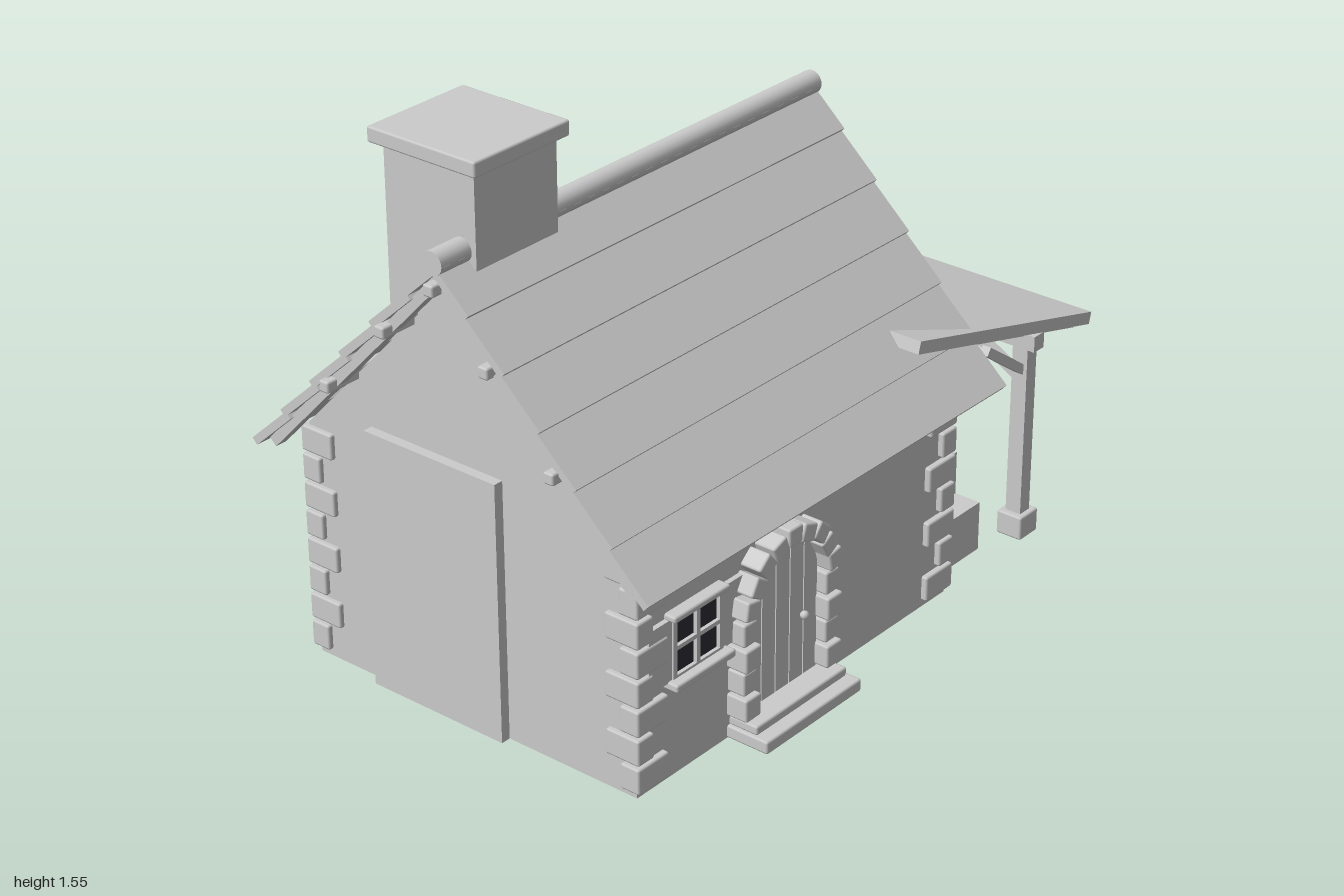
import * as THREE from 'three';
import { RoundedBoxGeometry } from 'three/addons/geometries/RoundedBoxGeometry.js';

const CZ = -0.01; // ridge line in z

export function createModel() {
  const house = new THREE.Group();
  house.name = 'workshopHouse';
  const stone = new THREE.MeshStandardMaterial({ color: 0xcccccc, name: 'light grey' });
  const dark = new THREE.MeshStandardMaterial({ color: 0x2e2e36, name: 'dark iron' });

  const add = (name, geo, mat = stone, x = 0, y = 0, z = 0) => {
    const m = new THREE.Mesh(geo, mat);
    m.name = name;
    m.position.set(x, y, z);
    house.add(m);
    return m;
  };
  // box given by its limits on each axis
  const box = (name, x0, x1, y0, y1, z0, z1, mat = stone) =>
    add(name, new THREE.BoxGeometry(x1 - x0, y1 - y0, z1 - z0), mat, (x0 + x1) / 2, (y0 + y1) / 2, (z0 + z1) / 2);
  // chamfered block given by its limits
  const block = (name, x0, x1, y0, y1, z0, z1) =>
    add(name, new RoundedBoxGeometry(x1 - x0, y1 - y0, z1 - z0, 1, 0.006), stone, (x0 + x1) / 2, (y0 + y1) / 2, (z0 + z1) / 2);
  // straight timber between two points
  const beam = (name, a, b, w, h = w) => {
    const p = new THREE.Vector3(...a), q = new THREE.Vector3(...b);
    const m = add(name, new THREE.BoxGeometry(w, h, p.distanceTo(q)));
    m.position.copy(p).lerp(q, 0.5);
    m.lookAt(q);
    return m;
  };
  const lathe = (name, pts, seg, x, y, z, mat = stone) =>
    add(name, new THREE.LatheGeometry(pts.map(p => new THREE.Vector2(...p)), seg), mat, x, y, z);

  // walls with gables
  const X0 = -0.89, X1 = 0.372, HZ = 0.535;
  const gable = new THREE.Shape([[-HZ, 0], [HZ, 0], [HZ, 0.67], [0, 1.24], [-HZ, 0.67]].map(p => new THREE.Vector2(...p)));
  const wallGeo = new THREE.ExtrudeGeometry(gable, { depth: X1 - X0, bevelEnabled: false });
  wallGeo.rotateY(Math.PI / 2);
  add('walls', wallGeo, stone, X0, 0, CZ);
  box('chimneyBreast', -0.918, -0.85, 0, 0.73, -0.325, 0.11);

  // corner stones, alternating long and short
  for (const sx of [-1, 1]) for (const sz of [-1, 1]) for (let i = 0; i < 8; i++) {
    const lx = i % 2 ? 0.06 : 0.115, lz = i % 2 ? 0.105 : 0.06;
    const ox = sx < 0 ? X0 - 0.014 : X1 + 0.012, oz = CZ + sz * (HZ + 0.018);
    const ix = ox - sx * lx, iz = oz - sz * lz, y = 0.02 + i * 0.0815;
    block('cornerStone', Math.min(ox, ix), Math.max(ox, ix), y, y + 0.072, Math.min(oz, iz), Math.max(oz, iz));
  }

  // roof: six lapped boards on each slope
  const slope = Math.atan(1.065), RX0 = -0.978, RX1 = 0.458, RW = RX1 - RX0;
  for (const s of [-1, 1]) {
    for (let i = 0; i < 6; i++) {
      const d = 0.108 * (i + 0.5), t = 0.022;
      const board = add('roofBoard', new THREE.BoxGeometry(RW, t, 0.172), stone, (RX0 + RX1) / 2,
        1.318 - 1.065 * d - 0.02 * Math.cos(slope), CZ + s * (d - 0.02 * Math.sin(slope)));
      board.rotation.x = s * (slope - 0.08);
    }
    // end rafters
    for (const x of [RX0 + 0.03, RX1 - 0.03])
      beam('endRafter', [x, 1.25, CZ], [x, 0.625, CZ + s * 0.59], 0.035, 0.028);
    // gable posts
    box('gablePost', X1, X1 + 0.04, 0.7, 1.08, CZ + s * 0.147 - 0.012, CZ + s * 0.147 + 0.012);
    beam('gableRafter', [X1 + 0.02, 1.215, CZ], [X1 + 0.02, 0.73, CZ + s * 0.475], 0.04, 0.03);
  }
  box('gableTie', X1, X1 + 0.045, 0.857, 0.875, CZ - 0.365, CZ + 0.365);
  for (const [y, z] of [[1.235, 0], [1.075, 0.167], [1.075, -0.167], [0.865, 0.365], [0.865, -0.365]])
    block('purlin', -0.998, 0.48, y - 0.016, y + 0.016, CZ + z - 0.016, CZ + z + 0.016);
  const ridge = add('ridgeRoll', new THREE.CylinderGeometry(0.032, 0.032, RW + 0.004, 20), stone, (RX0 + RX1) / 2, 1.3, CZ);
  ridge.rotation.z = Math.PI / 2;

  // chimney
  box('chimney', -0.877, -0.59, 0.85, 1.51, -0.253, 0.036);
  block('chimneyCap', -0.9, -0.567, 1.505, 1.547, -0.285, 0.06);

  // lean-to roof
  const pitch = Math.atan2(0.216, 0.79);
  const roofY = x => 0.816 - 0.273 * (x - 0.205); // top surface
  beam('leanToRoof', [0.2, roofY(0.2) - 0.018, -0.0125], [0.993, roofY(0.993) - 0.018, -0.0125], 1.115, 0.035);
  for (let i = -4; i <= 4; i++)
    beam('leanToRafter', [0.36, roofY(0.36) - 0.046, CZ + i * 0.124], [0.988, roofY(0.988) - 0.046, CZ + i * 0.124], 0.026, 0.026 / Math.cos(pitch));
  box('leanToPlate', 0.74, 0.785, 0.572, 0.618, -0.555, 0.535);
  for (const i of [-1, 0, 1]) {
    const z = CZ / 2 + i * 0.495;
    box('leanToPost', 0.741, 0.784, 0.06, 0.6, z - 0.024, z + 0.024);
    block('postBase', 0.722, 0.804, 0, 0.07, z - 0.04, z + 0.04);
    beam('postBrace', [0.75, 0.505, z], [0.575, 0.628, z], 0.026);
    if (i) beam('plateBrace', [0.763, 0.475, z - i * 0.01], [0.763, 0.585, z - i * 0.21], 0.026);
  }

  // door of five planks under a round arch
  const DX = -0.352, DY = 0.345, FZ = CZ + HZ, R = 0.14;
  for (let i = 0; i < 5; i++) {
    const a = -R + i * 0.056 + 0.002, b = a + 0.052, s = new THREE.Shape();
    s.moveTo(a, 0.06);
    s.lineTo(b, 0.06);
    for (let k = 0; k <= 4; k++) {
      const x = b + (a - b) * k / 4;
      s.lineTo(x, DY + Math.sqrt(R * R - x * x));
    }
    add('doorPlank', new THREE.ExtrudeGeometry(s, { depth: 0.02, bevelEnabled: false }), stone, DX, 0, FZ);
  }
  add('doorKnob', new THREE.SphereGeometry(0.012, 12, 8), stone, -0.275, 0.24, FZ + 0.03);
  for (const s of [-1, 1]) for (let i = 0; i < 4; i++) {
    const x = DX + s * 0.164, w = i % 2 ? 0.026 : 0.03, y = 0.065 + i * 0.07;
    block('doorJambStone', x - w, x + w, y, y + 0.064, FZ - 0.01, FZ + (i % 2 ? 0.052 : 0.062));
  }
  for (let i = 0; i < 9; i++) {
    const a = Math.PI * (i + 0.5) / 9, r = i % 2 ? 0.162 : 0.168;
    const v = add('archStone', new RoundedBoxGeometry(0.05, 0.054, 0.075, 1, 0.006), stone,
      DX + r * Math.cos(a), DY + r * Math.sin(a), FZ + 0.024);
    v.rotation.z = a;
  }
  block('lowerStep', -0.545, -0.16, 0, 0.036, FZ - 0.01, 0.652);
  block('upperStep', -0.535, -0.17, 0.034, 0.06, FZ - 0.01, 0.612);

  // window
  box('windowPane', -0.765, -0.59, 0.28, 0.46, FZ, FZ + 0.008, dark);
  for (const x of [-0.765, -0.678, -0.59]) box('windowBar', x - 0.007, x + 0.007, 0.28, 0.46, FZ, FZ + 0.018);
  for (const y of [0.287, 0.368, 0.45]) box('windowBar', -0.765, -0.59, y - 0.006, y + 0.006, FZ, FZ + 0.018);
  block('windowLintel', -0.785, -0.575, 0.452, 0.47, FZ - 0.01, FZ + 0.035);
  block('windowSill', -0.79, -0.565, 0.264, 0.286, FZ - 0.01, FZ + 0.045);
  for (const x of [-0.858, -0.587]) box('shutter', x, x + 0.085, 0.282, 0.455, FZ, FZ + 0.014);

  // forge hearth and chest
  box('hearth', 0.36, 0.64, 0, 0.255, 0.094, 0.367);
  box('hearthCoals', 0.4, 0.6, 0.255, 0.268, 0.135, 0.325, dark);
  box('chest', 0.4, 0.615, 0, 0.145, 0.385, 0.465);

  // bellows on the wall
  box('bellowsBag', 0.37, 0.475, 0.275, 0.328, -0.058, 0.045, dark);
  for (const [y, t] of [[0.334, 0.12], [0.268, -0.12]]) {
    const board = add('bellowsBoard', new THREE.BoxGeometry(0.118, 0.014, 0.13), stone, 0.43, y, -0.015);
    board.rotation.x = t;
    beam('bellowsHandle', [0.43, y, -0.06], [0.43, y - t * 0.03, -0.085], 0.03, 0.014);
  }

  // anvil on its stump
  const AX = 0.56, AZ = -0.167;
  lathe('stump', [[0, 0], [0.077, 0], [0.072, 0.06], [0.068, 0.15], [0.062, 0.162], [0, 0.162]], 24, AX, 0, AZ);
  block('anvilFoot', AX - 0.05, AX + 0.05, 0.16, 0.19, AZ - 0.031, AZ + 0.031);
  box('anvilWaist', AX - 0.03, AX + 0.03, 0.185, 0.22, AZ - 0.017, AZ + 0.017);
  block('anvilFace', AX - 0.075, AX + 0.09, 0.212, 0.258, AZ - 0.028, AZ + 0.028);
  const horn = add('anvilHorn', new THREE.ConeGeometry(0.024, 0.09, 16), stone, AX + 0.125, 0.237, AZ);
  horn.rotation.z = -Math.PI / 2;

  // barrel with hoops
  const bulge = y => 0.05 + 0.013 * (1 - ((y - 0.0975) / 0.0975) ** 2);
  const stave = [[0, 0]];
  for (let i = 0; i <= 8; i++) stave.push([bulge(i * 0.0244), i * 0.0244]);
  stave.push([0.044, 0.195], [0.044, 0.187], [0, 0.187]);
  lathe('barrel', stave, 24, 0.715, 0, -0.413);
  for (const y of [0.035, 0.075, 0.12, 0.16])
    add('barrelHoop', new THREE.CylinderGeometry(bulge(y) + 0.003, bulge(y) + 0.003, 0.012, 24), stone, 0.715, y, -0.413);

  // iron trough by the wall
  const trough = lathe('trough', [[0, 0.008], [0.07, 0.008], [0.095, 0.03], [0.095, 0.08], [0.08, 0.095], [0.07, 0.095], [0.065, 0.06], [0, 0.06]]
    , 4, 0.453, 0, -0.405, dark);
  trough.geometry.rotateY(Math.PI / 4);
  trough.geometry = trough.geometry.toNonIndexed();
  trough.geometry.computeVertexNormals();

  return house;
}
